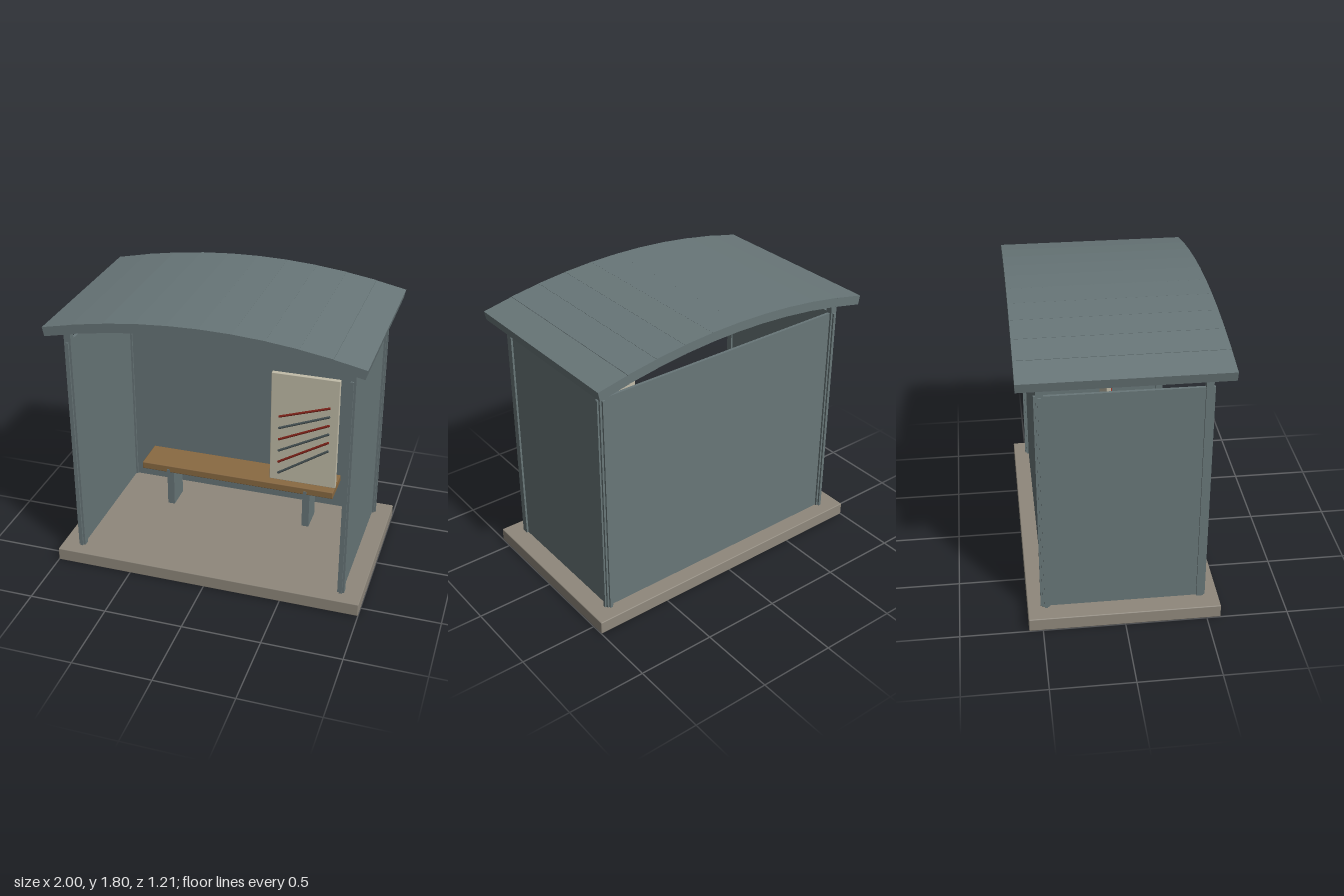
import * as THREE from 'three';
import { RoundedBoxGeometry } from 'three/addons/geometries/RoundedBoxGeometry.js';

const material = (name, color) => {
  const m = new THREE.MeshStandardMaterial({ color });
  m.name = name;
  return m;
};

export function createModel() {
  const shelter = new THREE.Group();
  shelter.name = 'shelter';

  const steel = material('blue grey steel', 0x687678);
  const concrete = material('concrete', 0x8f887c);
  const wood = material('bench wood', 0x8a6a42);
  const board = material('cream board', 0xc2bda9);
  const red = material('red line', 0x85241a);
  const slate = material('slate line', 0x4a5658);

  const add = (name, geometry, mat, x, y, z) => {
    const mesh = new THREE.Mesh(geometry, mat);
    mesh.name = name;
    mesh.position.set(x, y, z);
    shelter.add(mesh);
    return mesh;
  };
  // Box given by its extents on each axis; a bevel softens the edges
  const box = (name, mat, [x0, x1], [y0, y1], [z0, z1], bevel = 0) => {
    const size = [x1 - x0, y1 - y0, z1 - z0];
    const geometry = bevel
      ? new RoundedBoxGeometry(...size, 1, bevel)
      : new THREE.BoxGeometry(...size);
    return add(name, geometry, mat, (x0 + x1) / 2, (y0 + y1) / 2, (z0 + z1) / 2);
  };

  // Floor slab
  box('floorSlab', concrete, [-1, 1], [0, 0.086], [-0.585, 0.585], 0.006);

  // Back and side walls, thinner than the posts that hold them
  box('backWall', steel, [-0.9, 0.9], [0.06, 1.55], [-0.481, -0.463]);
  for (const side of [-1, 1]) {
    const name = side > 0 ? 'left' : 'right';
    const x = side * 0.868;
    box(name + 'Wall', steel, [x - 0.009, x + 0.009], [0.06, 1.549], [-0.505, 0.505]);
    // Corner posts up into the roof
    for (const end of [-1, 1]) {
      const z = end * 0.472;
      box(name + (end > 0 ? 'FrontPost' : 'BackPost'), steel,
        [x - 0.0215, x + 0.0215], [0.04, 1.665], [z - 0.0215, z + 0.0215]);
    }
    // Bench leg and the small bracket end showing on the seat edge
    const lx = side * 0.478;
    box(name + 'BenchLeg', steel, [lx - 0.024, lx + 0.024], [0.04, 0.365], [-0.32, -0.15]);
    box(name + 'BenchBracket', steel, [lx - 0.011, lx + 0.011], [0.363, 0.385], [-0.15, -0.106]);
  }

  // Bench seat
  box('benchSeat', wood, [-0.667, 0.667], [0.36, 0.41], [-0.347, -0.11], 0.006);

  // Information board with sloping lines fanning across it
  box('infoBoard', board, [0.281, 0.714], [0.555, 1.315], [0.03, 0.06], 0.004);
  for (let i = 0; i < 6; i++) {
    const a = new THREE.Vector3(0.337, 1.02 - 0.082 * i, 0.069);
    const b = new THREE.Vector3(0.66, 1.128 - 0.0605 * i, 0.069);
    const line = add('boardLine', new THREE.CylinderGeometry(0.0075, 0.0075, a.distanceTo(b), 10),
      i % 2 ? slate : red, 0, 0, 0);
    line.position.lerpVectors(a, b, 0.5);
    line.quaternion.setFromUnitVectors(new THREE.Vector3(0, 1, 0), b.clone().sub(a).normalize());
  }

  // Arched roof: ten planks laid along a shallow curve with small steps
  const thickness = 0.058;
  for (let i = 0; i < 10; i++) {
    const x = (i - 4.5) * 0.193;
    const y = 1.798 - thickness / 2 - 0.125 * x * x;
    const plank = add('roofPlank', new THREE.BoxGeometry(0.197, thickness, 1.21), steel, x, y, 0);
    plank.rotation.z = -0.235 * x;
  }

  return shelter;
}
